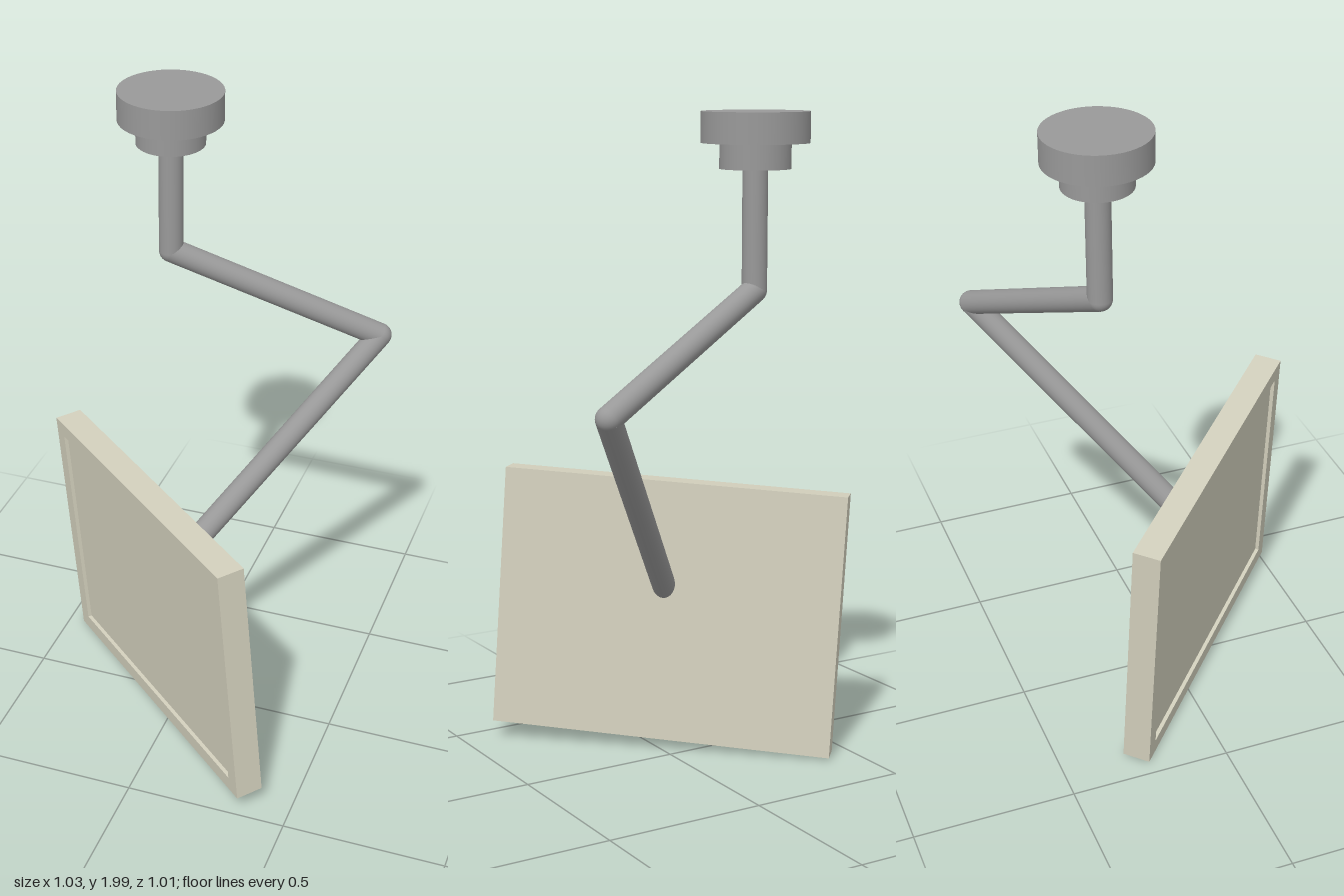
import * as THREE from 'three';

export function createModel() {
  const model = new THREE.Group();
  const grey = new THREE.MeshStandardMaterial({ color: 0x999999 });
  const beige = new THREE.MeshStandardMaterial({ color: 0xd3d0bd });
  const V = (x, y, z) => new THREE.Vector3(x, y, z);

  const add = (parent, name, geometry, material, position) => {
    const mesh = new THREE.Mesh(geometry, material);
    mesh.name = name;
    if (position) mesh.position.copy(position);
    parent.add(mesh);
    return mesh;
  };

  // Round rod between two points
  const R = 0.037;
  const rod = (name, a, b) => {
    const dir = b.clone().sub(a);
    const mesh = add(model, name, new THREE.CylinderGeometry(R, R, dir.length(), 32), grey,
      a.clone().add(b).multiplyScalar(0.5));
    mesh.quaternion.setFromUnitVectors(V(0, 1, 0), dir.normalize());
  };

  // Stepped ceiling mount
  const mx = -0.131, mz = -0.257;
  add(model, 'ceilingPlate', new THREE.CylinderGeometry(0.158, 0.158, 0.09, 48), grey, V(mx, 1.955, mz));
  add(model, 'ceilingCollar', new THREE.CylinderGeometry(0.104, 0.104, 0.075, 48), grey, V(mx, 1.8735, mz));

  // Folding arm with ball joints, its end sunk into the panel back
  const shoulder = V(mx, 1.485, mz);
  const elbow = V(0.479, 1.195, -0.47);
  const tip = V(-0.044, 0.513, 0.102);
  rod('stem', V(mx, 1.85, mz), shoulder);
  rod('upperArm', shoulder, elbow);
  rod('lowerArm', elbow, tip);
  add(model, 'shoulderJoint', new THREE.SphereGeometry(R, 32, 20), grey, shoulder);
  add(model, 'elbowJoint', new THREE.SphereGeometry(R, 32, 20), grey, elbow);

  // Tilted panel: a back slab with a thin raised border around the recessed face
  const W = 1.081, H = 0.823, D = 0.086, recess = 0.012, border = 0.048;
  const panel = new THREE.Group();
  panel.name = 'panel';
  add(panel, 'panelBody', new THREE.BoxGeometry(W, H, D - recess), beige, V(0, 0, -recess / 2));

  const rect = (target, w, h) => target
    .moveTo(-w / 2, -h / 2).lineTo(w / 2, -h / 2).lineTo(w / 2, h / 2).lineTo(-w / 2, h / 2).closePath();
  const frame = rect(new THREE.Shape(), W, H);
  frame.holes.push(rect(new THREE.Path(), W - 2 * border, H - 2 * border));
  add(panel, 'panelBorder', new THREE.ExtrudeGeometry(frame, { depth: recess, bevelEnabled: false }),
    beige, V(0, 0, D / 2 - recess));

  // Orient the panel from its width and height directions
  const across = V(0.8, 0.053, 0.725).normalize();
  const normal = across.clone().cross(V(-0.064, 0.82, 0.017)).normalize();
  const up = normal.clone().cross(across);
  panel.quaternion.setFromRotationMatrix(new THREE.Matrix4().makeBasis(across, up, normal));
  panel.position.set(-0.056, 0.447, 0.1);
  model.add(panel);

  return model;
}
